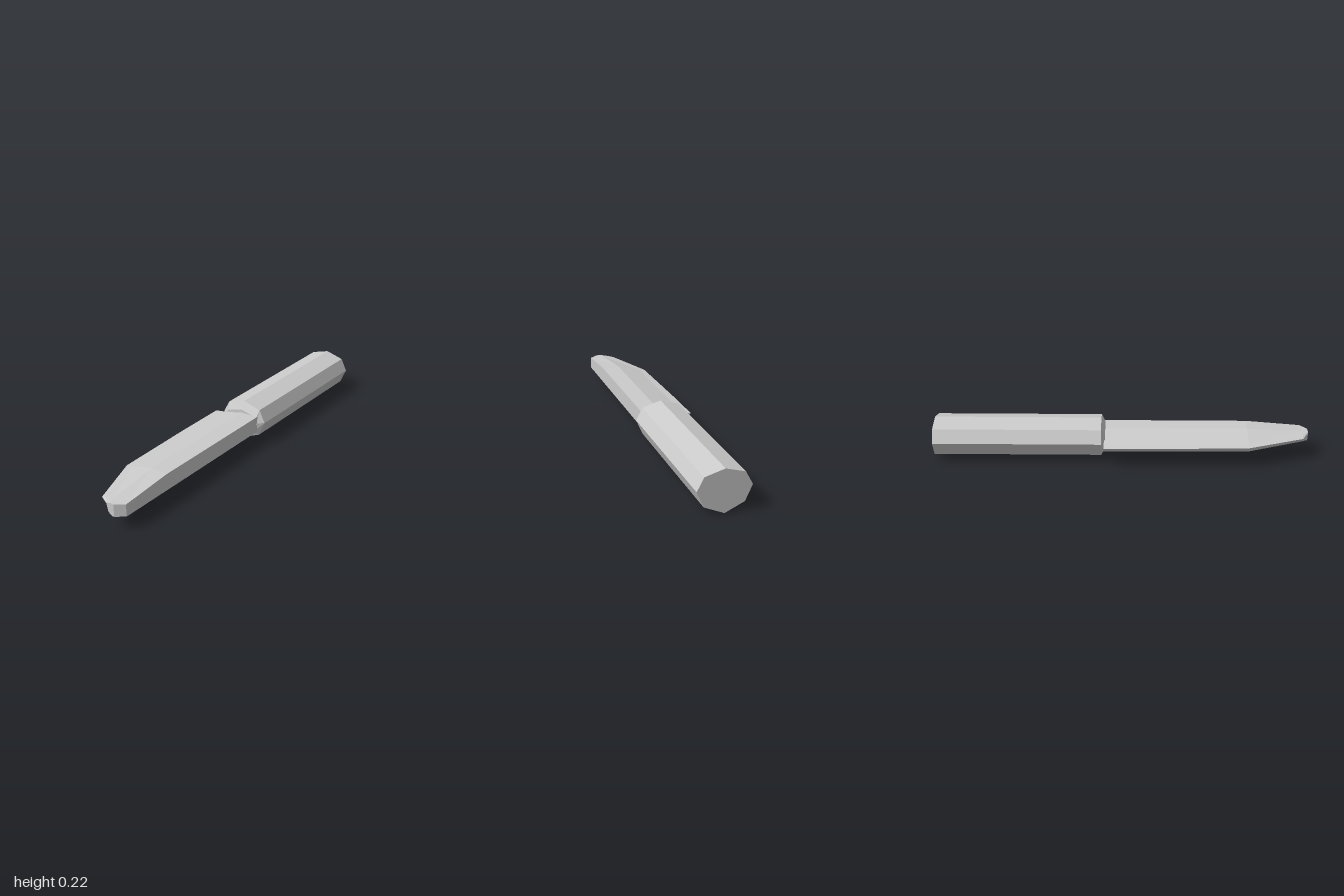
import * as THREE from 'three';

// Joins cross-sections (clockwise seen from +z, ordered back to front) and caps both ends.
function loft(name, sections) {
  const rings = sections.map(([z, pts]) => pts.map(([x, y]) => [x, y, z]));
  const n = rings[0].length;
  const pos = [];
  const tri = (a, b, c) => pos.push(...a, ...b, ...c);
  for (let k = 0; k < rings.length - 1; k++) {
    const a = rings[k], b = rings[k + 1];
    for (let i = 0; i < n; i++) {
      const j = (i + 1) % n;
      tri(a[i], b[j], a[j]);
      tri(a[i], b[i], b[j]);
    }
  }
  const back = rings[0], front = rings[rings.length - 1];
  for (let i = 1; i < n - 1; i++) {
    tri(back[0], back[i], back[i + 1]);
    tri(front[0], front[i + 1], front[i]);
  }
  const geometry = new THREE.BufferGeometry();
  geometry.setAttribute('position', new THREE.Float32BufferAttribute(pos, 3));
  geometry.computeVertexNormals();
  const mesh = new THREE.Mesh(geometry, new THREE.MeshStandardMaterial({ color: 0xcccccc, flatShading: true }));
  mesh.name = name;
  return mesh;
}

export function createModel() {
  const group = new THREE.Group();
  group.name = 'knife';

  // Eight-sided handle with a bevelled front end
  const grip = [[0.02, 0.22], [0.12, 0.192], [0.154, 0.125], [0.12, 0.046],
    [0.02, 0.002], [-0.077, 0.046], [-0.113, 0.125], [-0.077, 0.192]];
  const neck = [[0.02, 0.176], [0.11, 0.152], [0.12, 0.122], [0.11, 0.08],
    [0.02, 0.052], [-0.07, 0.08], [-0.08, 0.122], [-0.07, 0.152]];
  group.add(loft('handle', [[-1, grip], [-0.11, grip], [-0.09, neck]]));

  // Blade sections: spine top, spine bottom, lower ridge, bevel, cutting edge, shoulder, upper ridge
  const spine = [[0.117, 0.158], [0.117, 0.07], [0.06, 0.07]];
  group.add(loft('blade', [
    [-0.095, [...spine, [-0.13, 0.094], [-0.155, 0.122], [-0.11, 0.127], [0.02, 0.158]]],
    [0.2, [...spine, [-0.128, 0.094], [-0.152, 0.122], [-0.11, 0.127], [0.02, 0.158]]],
    [0.67, [...spine, [-0.118, 0.094], [-0.138, 0.123], [-0.105, 0.128], [0.02, 0.158]]],
    [0.965, [[0.117, 0.134], [0.117, 0.07], [0.06, 0.07], [0, 0.094], [-0.03, 0.124], [-0.012, 0.13], [0.04, 0.137]]],
    [1, [[0.072, 0.135], [0.072, 0.07], [0.06, 0.07], [0.038, 0.085], [0.028, 0.128], [0.034, 0.133], [0.05, 0.136]]],
  ]));
  return group;
}
